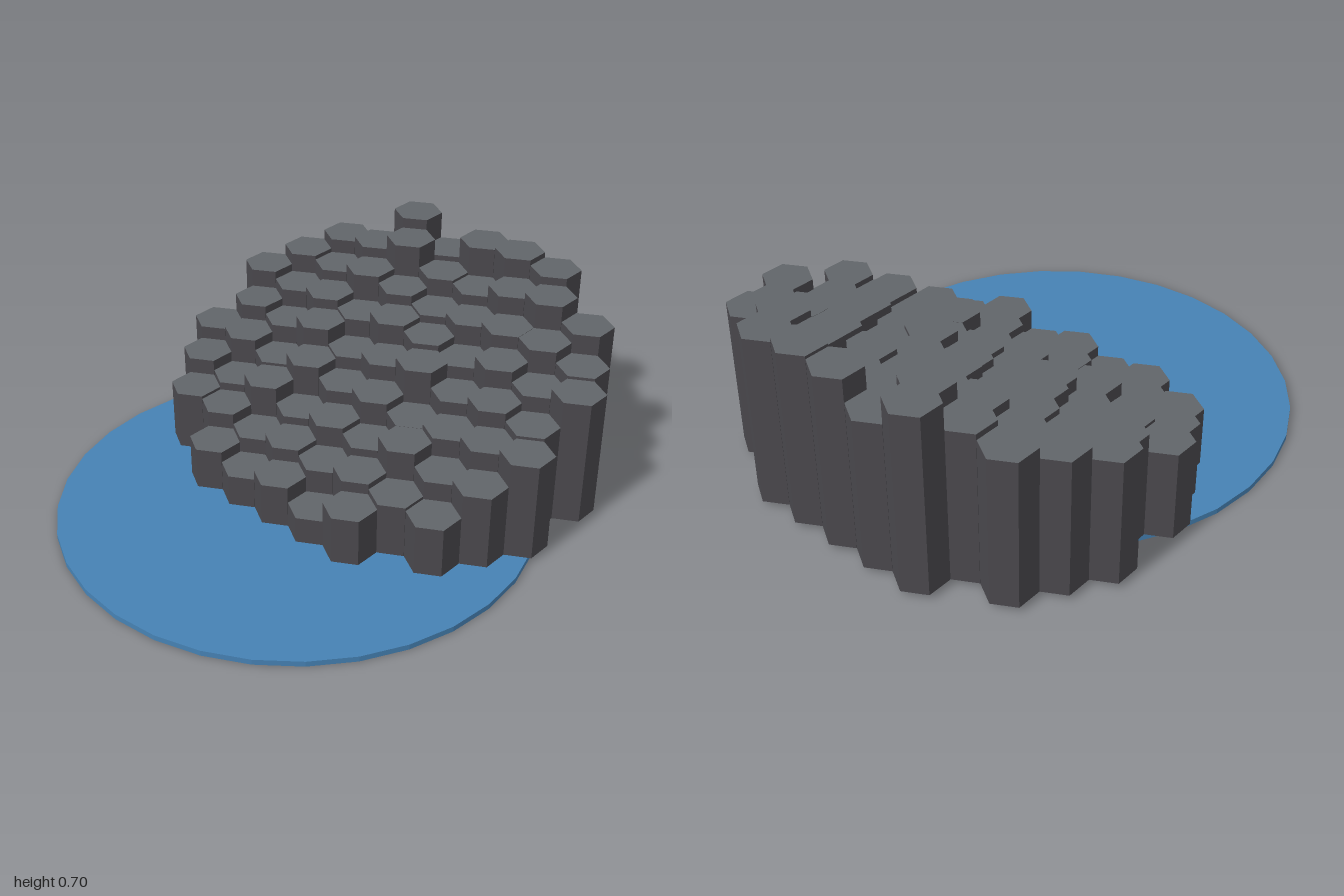
import * as THREE from 'three';

const material = (name, color) => {
  const m = new THREE.MeshStandardMaterial({ color, flatShading: true });
  m.name = name;
  return m;
};

// Heights of the column tops, one row per line, from back to front
const ROWS = [
  [0.705, 0.6, 0.685, 0.695, 0.675],
  [0.585, 0.605, 0.665, 0.58, 0.57, 0.62, 0.645, 0.585],
  [0.545, 0.53, 0.565, 0.54, 0.51, 0.53, 0.55, 0.55, 0.51],
  [0.5, 0.47, 0.49, 0.46, 0.5, 0.48, 0.45, 0.5, 0.46, 0.5],
  [0.43, 0.4, 0.45, 0.39, 0.42, 0.46, 0.4, 0.43, 0.4],
  [0.36, 0.37, 0.33, 0.38, 0.34, 0.36, 0.33, 0.35, 0.37, 0.39],
  [0.31, 0.27, 0.32, 0.26, 0.29, 0.27, 0.33, 0.28, 0.3],
  [0.25, 0.24, 0.2, 0.23, 0.21, 0.24, 0.22, 0.21],
  [0.18, 0.14, 0.18, 0.12, 0.2],
];

export function createModel() {
  const model = new THREE.Group();
  model.name = 'basaltColumns';
  const water = material('water blue', 0x4682b4);
  const rock = material('dark rock', 0x4a484d);
  const rockTop = material('grey rock top', 0x616569);

  // Round sheet of water
  const base = 0.02;
  const sea = new THREE.Mesh(new THREE.CylinderGeometry(0.86, 0.86, base, 32), water);
  sea.name = 'waterDisc';
  sea.position.set(0, base / 2, 0.14);
  model.add(sea);

  // Hexagonal columns on a honeycomb grid, stepping down to the front
  const columns = new THREE.Group();
  columns.name = 'columns';
  const radius = 0.094, stepX = 0.164, stepZ = 0.142;
  ROWS.forEach((tops, row) => {
    tops.forEach((top, i) => {
      const h = top - base;
      const column = new THREE.Mesh(
        new THREE.CylinderGeometry(radius, radius, h, 6),
        [rock, rockTop, rock],
      );
      column.name = `column${row + 1}_${i + 1}`;
      column.position.set(
        (i - (tops.length - 1) / 2) * stepX,
        base + h / 2,
        -0.906 + row * stepZ,
      );
      columns.add(column);
    });
  });
  model.add(columns);
  return model;
}
